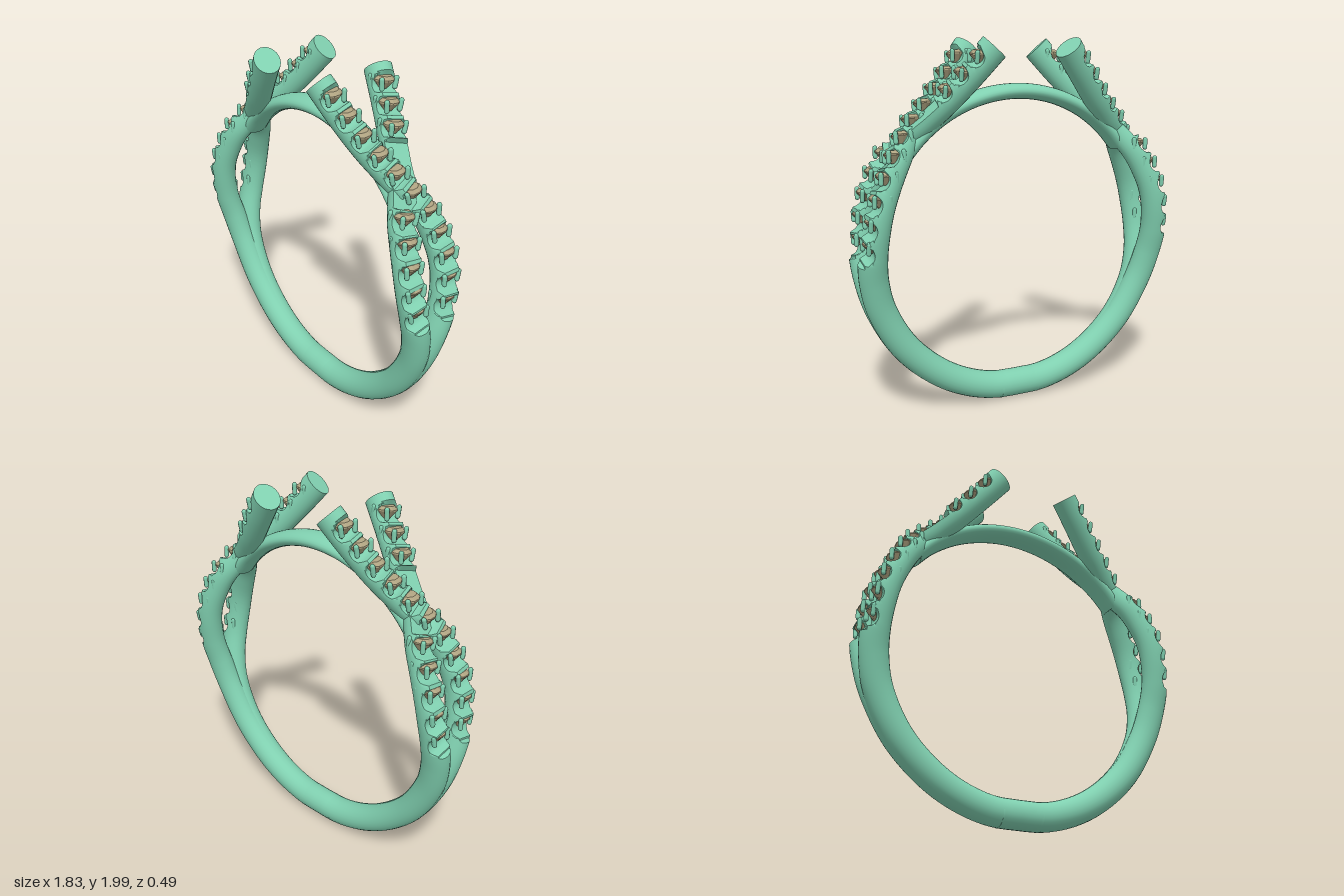
import * as THREE from 'three';
import { toCreasedNormals } from 'three/addons/utils/BufferGeometryUtils.js';

const metal = new THREE.MeshStandardMaterial({ color: 0x80d0b0 });
const gemMat = new THREE.MeshStandardMaterial({ color: 0xb0a482, flatShading: true });
const CY = 0.915, R = 0.838, STONES = 11;

// Local frame on a curve: tangent, outward normal (in the ring plane), sideways
function frameAt(curve, u) {
  const p = curve.getPointAt(u), t = curve.getTangentAt(u);
  const n = new THREE.Vector3(t.y, -t.x, 0).normalize();
  return { p, t, n, b: new THREE.Vector3().crossVectors(t, n) };
}

// Elliptical sweep; shape(u, p) gives the radii and an optional cut height on the outer side
function sweep(curve, segs, sides, shape) {
  const pos = [], idx = [];
  for (let i = 0; i <= segs; i++) {
    const f = frameAt(curve, i / segs), s = shape(i / segs, f.p);
    for (let j = 0; j < sides; j++) {
      const a = (j / sides) * Math.PI * 2;
      const h = Math.min(s.rn * Math.cos(a), s.cut ?? 1);
      const v = f.p.clone().addScaledVector(f.n, h).addScaledVector(f.b, s.rb * Math.sin(a));
      pos.push(v.x, v.y, v.z);
      if (i < segs) {
        const k = (j + 1) % sides, q = i * sides, r = q + sides;
        idx.push(q + j, q + k, r + j, q + k, r + k, r + j);
      }
    }
  }
  // end caps
  for (const i of [0, segs]) {
    const c = curve.getPointAt(i / segs), m = pos.length / 3;
    pos.push(c.x, c.y, c.z);
    for (let j = 0; j < sides; j++) {
      const a = i * sides + j, b = i * sides + (j + 1) % sides;
      idx.push(m, ...(i ? [a, b] : [b, a]));
    }
  }
  const g = new THREE.BufferGeometry();
  g.setAttribute('position', new THREE.Float32BufferAttribute(pos, 3));
  g.setIndex(idx);
  return toCreasedNormals(g, 0.6);
}

// Centre line of a strand: side = +1 or -1 picks which way it weaves
function strandCurve(side) {
  const ring = [[-8, 0], [12, 0], [30, 0.002], [50, 0.008], [68, 0.025], [80, 0.055], [90, 0.09]];
  const pts = ring.map(([d, z]) => {
    const a = THREE.MathUtils.degToRad(d);
    return [R * Math.sin(a), CY - R * Math.cos(a), z];
  });
  pts.push([0.825, 1.06, 0.112], [0.8, 1.17, 0.114], [0.757, 1.28, 0.1], [0.7, 1.39, 0.072],
    [0.615, 1.51, 0], [0.53, 1.59, -0.042], [0.44, 1.68, -0.087], [0.32, 1.815, -0.14], [0.21, 1.945, -0.182]);
  const c = new THREE.CatmullRomCurve3(pts.map(([x, y, z]) => new THREE.Vector3(x, y, -z * side)));
  c.arcLengthDivisions = 1000;
  return c;
}

// Fraction along the curve where it first climbs past height y
function uAtHeight(curve, y) {
  let u = 0.2;
  while (u < 1 && curve.getPointAt(u).y < y) u += 0.001;
  return u;
}

// Cut stone: pavilion, girdle and flat table, standing along +y
const gemGeo = new THREE.LatheGeometry(
  [[0, -0.005], [0.022, 0.002], [0.055, 0.043], [0.055, 0.05], [0.038, 0.066], [0, 0.067]]
    .map(([x, y]) => new THREE.Vector2(x, y)), 10);
const prongGeo = new THREE.CapsuleGeometry(0.013, 0.045, 3, 8).translate(0, 0.034, 0);

function strand(side, hasStone) {
  const g = new THREE.Group();
  g.name = side > 0 ? 'overStrand' : 'underStrand';
  const curve = strandCurve(side), len = curve.getLength();
  const u0 = uAtHeight(curve, 0.94), u1 = uAtHeight(curve, 1.865);
  const step = (u1 - u0) / (STONES - 1);

  // tube with a scooped seat under each stone
  const shape = (u, p) => {
    const rb = 0.077 - 0.01 * THREE.MathUtils.smoothstep(p.y, 0.1, 0.9);
    const k = (u - u0) / step, i = Math.round(k);
    const s = { rn: 0.0765, rb };
    if (k > -0.5 && k < STONES - 0.5) {
      const d = (k - i) * step * len;
      if (!hasStone(i)) s.cut = 0.02;
      else s.cut = 0.054 - Math.sqrt(Math.max(0, 0.046 ** 2 - d * d));
    }
    return s;
  };
  const tube = new THREE.Mesh(sweep(curve, 300, 24, shape), metal);
  tube.name = 'strandTube';
  g.add(tube);

  // stones with four prongs each
  for (let i = 0; i < STONES; i++) {
    if (!hasStone(i)) continue;
    const f = frameAt(curve, u0 + i * step);
    const seat = new THREE.Group();
    seat.name = 'stoneSetting';
    seat.position.copy(f.p);
    seat.quaternion.setFromRotationMatrix(new THREE.Matrix4().makeBasis(f.t, f.n, f.b.clone().negate()));
    const gem = new THREE.Mesh(gemGeo, gemMat);
    gem.name = 'stone';
    seat.add(gem);
    for (const sx of [-1, 1]) for (const sz of [-1, 1]) {
      const prong = new THREE.Mesh(prongGeo, metal);
      prong.name = 'prong';
      prong.position.set(sx * 0.039, 0, sz * 0.043);
      prong.rotation.x = sz * 0.12;
      seat.add(prong);
    }
    g.add(seat);
  }
  return g;
}

export function createModel() {
  const model = new THREE.Group();
  model.name = 'ring';

  // each shoulder: one strand set all along, one that passes beneath it
  for (const turn of [0, Math.PI]) {
    const shoulder = new THREE.Group();
    shoulder.name = turn ? 'rightShoulder' : 'leftShoulder';
    shoulder.add(strand(1, () => true), strand(-1, i => i < 5 || i > 7));
    shoulder.rotation.y = turn;
    model.add(shoulder);
  }

  // flattened bridge closing the ring at the top
  const arc = [];
  for (let d = -52; d <= 52; d += 8) {
    const a = THREE.MathUtils.degToRad(-d);
    arc.push(new THREE.Vector3(0.803 * Math.sin(a), CY + 0.803 * Math.cos(a), 0));
  }
  const bridge = new THREE.Mesh(
    sweep(new THREE.CatmullRomCurve3(arc), 60, 24, () => ({ rn: 0.042, rb: 0.08 })), metal);
  bridge.name = 'bridge';
  model.add(bridge);
  return model;
}
